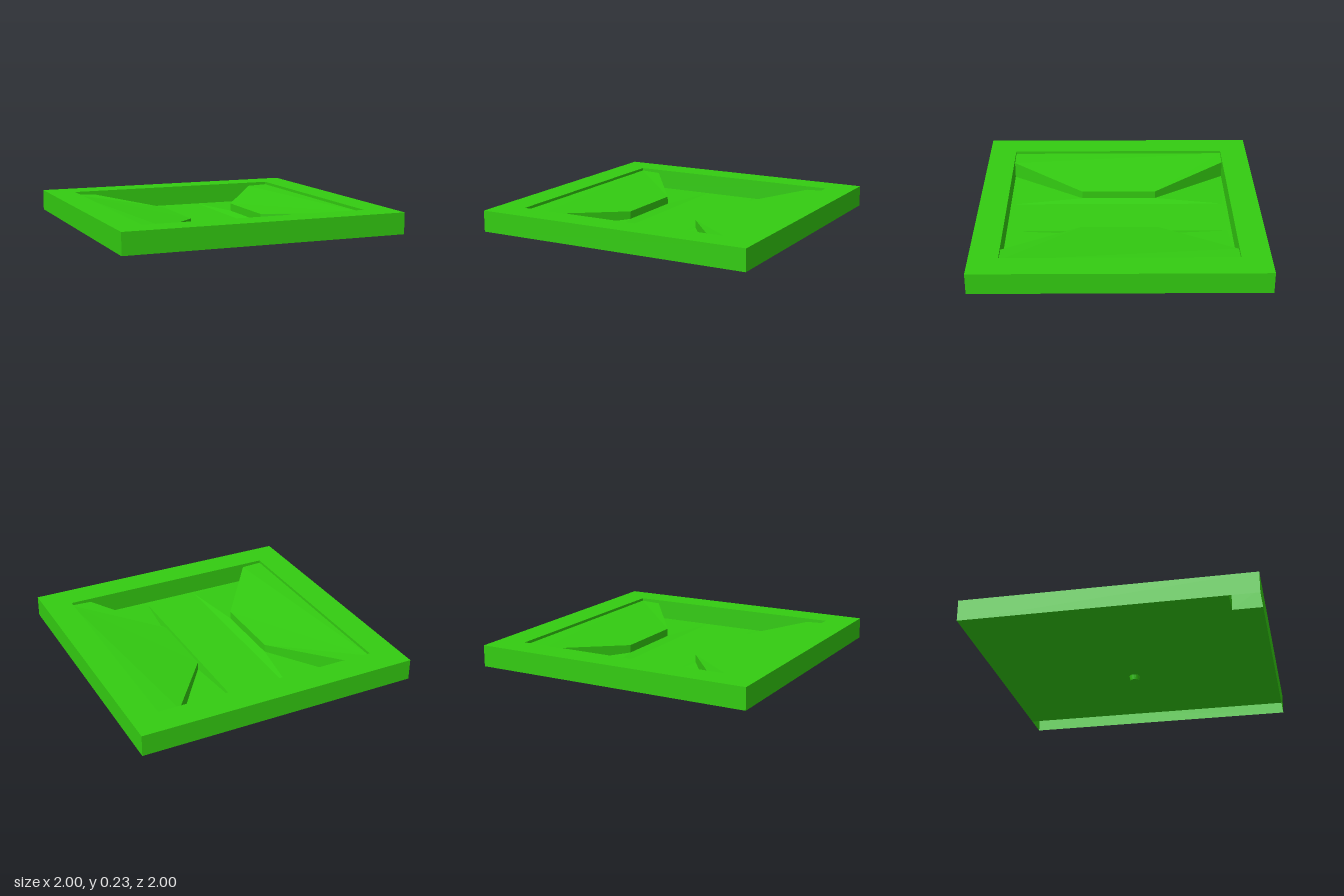
import * as THREE from 'three';

const material = new THREE.MeshStandardMaterial({ color: 0x33cc11, side: THREE.DoubleSide, flatShading: true });
const smooth = new THREE.MeshStandardMaterial({ color: 0x33cc11, side: THREE.DoubleSide });

const TOP = 0.23, BASE = 0.08, FLOOR = 0.085, OUT = 1, IN = 0.8;

function add(parent, name, geometry, mat = material) {
  const mesh = new THREE.Mesh(geometry, mat);
  mesh.name = name;
  parent.add(mesh);
  return mesh;
}

// Flat-shaded surface from polygons, each cut into a fan; corners run anticlockwise.
function faces(polygons) {
  const pos = [];
  for (const p of polygons)
    for (let i = 1; i < p.length - 1; i++) pos.push(...p[0], ...p[i], ...p[i + 1]);
  const g = new THREE.BufferGeometry();
  g.setAttribute('position', new THREE.Float32BufferAttribute(pos, 3));
  g.computeVertexNormals();
  return g;
}

// Upright panel between two ground points
const wall = (x0, z0, x1, z1) =>
  [[x0, BASE, z0], [x1, BASE, z1], [x1, TOP, z1], [x0, TOP, z0]];

// Closed loop of upright panels around a square
function wallLoop(s, inward) {
  const c = [[-s, s], [s, s], [s, -s], [-s, -s]];
  if (inward) c.reverse();
  return c.map((a, i) => wall(...a, ...c[(i + 1) % 4]));
}

const outline = (pts) => pts.map(([x, z]) => new THREE.Vector2(x, z));

export function createModel() {
  const model = new THREE.Group();
  model.name = 'tray';

  // Rim: flat top with a square opening, outer and inner walls
  const rim = new THREE.Group();
  rim.name = 'rim';
  model.add(rim);
  const ring = new THREE.Shape(outline([[-OUT, -OUT], [OUT, -OUT], [OUT, OUT], [-OUT, OUT]]));
  ring.holes.push(new THREE.Path(outline([[-IN, -IN], [-IN, IN], [IN, IN], [IN, -IN]])));
  add(rim, 'rimTop', new THREE.ShapeGeometry(ring).rotateX(-Math.PI / 2).translate(0, TOP, 0));
  add(rim, 'outerWalls', faces(wallLoop(OUT, false)));
  add(rim, 'innerWalls', faces(wallLoop(IN, true)));

  // Partitions closing off the hollow side and the hollow corner
  add(rim, 'partitions', faces([
    wall(IN, OUT, IN, IN), wall(IN, -IN, IN, -OUT),
    wall(-IN, IN, -IN, OUT), wall(-OUT, IN, -IN, IN),
  ]));

  // Underside: open below the +x side of the rim and at one corner, round hole for the dish
  const under = new THREE.Shape(outline([
    [-OUT, -OUT], [IN, -OUT], [IN, OUT], [-IN, OUT], [-IN, IN], [-OUT, IN],
  ]));
  const dishRadius = 0.44;
  under.holes.push(new THREE.Path().absarc(0, 0, dishRadius, 0, Math.PI * 2, true));
  add(model, 'underside', new THREE.ShapeGeometry(under, 24).rotateX(Math.PI / 2).translate(0, BASE, 0));

  // Shallow funnel and drain spout beneath
  const funnel = [[0, 0.033], [0.04, 0.034], [0.2, 0.053], [0.35, 0.072], [dishRadius, BASE]];
  add(model, 'funnel', new THREE.LatheGeometry(outline(funnel), 48), smooth);
  add(model, 'drainSpout', new THREE.CylinderGeometry(0.04, 0.031, 0.04, 16).translate(0, 0.02, 0));

  // Floor of the recess
  add(model, 'floor', new THREE.PlaneGeometry(2 * IN, 2 * IN).rotateX(-Math.PI / 2).translate(0, FLOOR, 0));

  // Two sloping shelves, each with a bevelled strip of floor along its inner edge
  const nx = 0.265, nz = 0.27, foot = 0.1;
  const top = [
    [IN, 0.21, IN], [IN, 0.21, -IN], [0.65, 0.204, -IN],
    [nx, 0.155, -nz], [nx, 0.155, nz], [0.65, 0.204, IN],
  ];
  const shelfFaces = [top];
  for (let i = 2; i < 5; i++) {
    const a = top[i], b = top[i + 1];
    shelfFaces.push([a, [a[0], FLOOR, a[2]], [b[0], FLOOR, b[2]], b]);
  }
  const shelfGeometry = faces(shelfFaces);
  const bevelGeometry = faces([
    [[nx, foot, nz], [nx, foot, -nz], [0.2, FLOOR, -0.77], [0.2, FLOOR, 0.77]],
    [[nx, foot, -nz], [0.65, FLOOR, -IN], [0.2, FLOOR, -0.77]],
    [[nx, foot, nz], [0.2, FLOOR, 0.77], [0.65, FLOOR, IN]],
  ]);
  for (const [side, angle] of [['left', 0], ['right', Math.PI]]) {
    const half = new THREE.Group();
    half.name = side + 'Side';
    half.rotation.y = angle;
    add(half, side + 'Shelf', shelfGeometry);
    add(half, side + 'FloorBevel', bevelGeometry);
    model.add(half);
  }
  return model;
}
